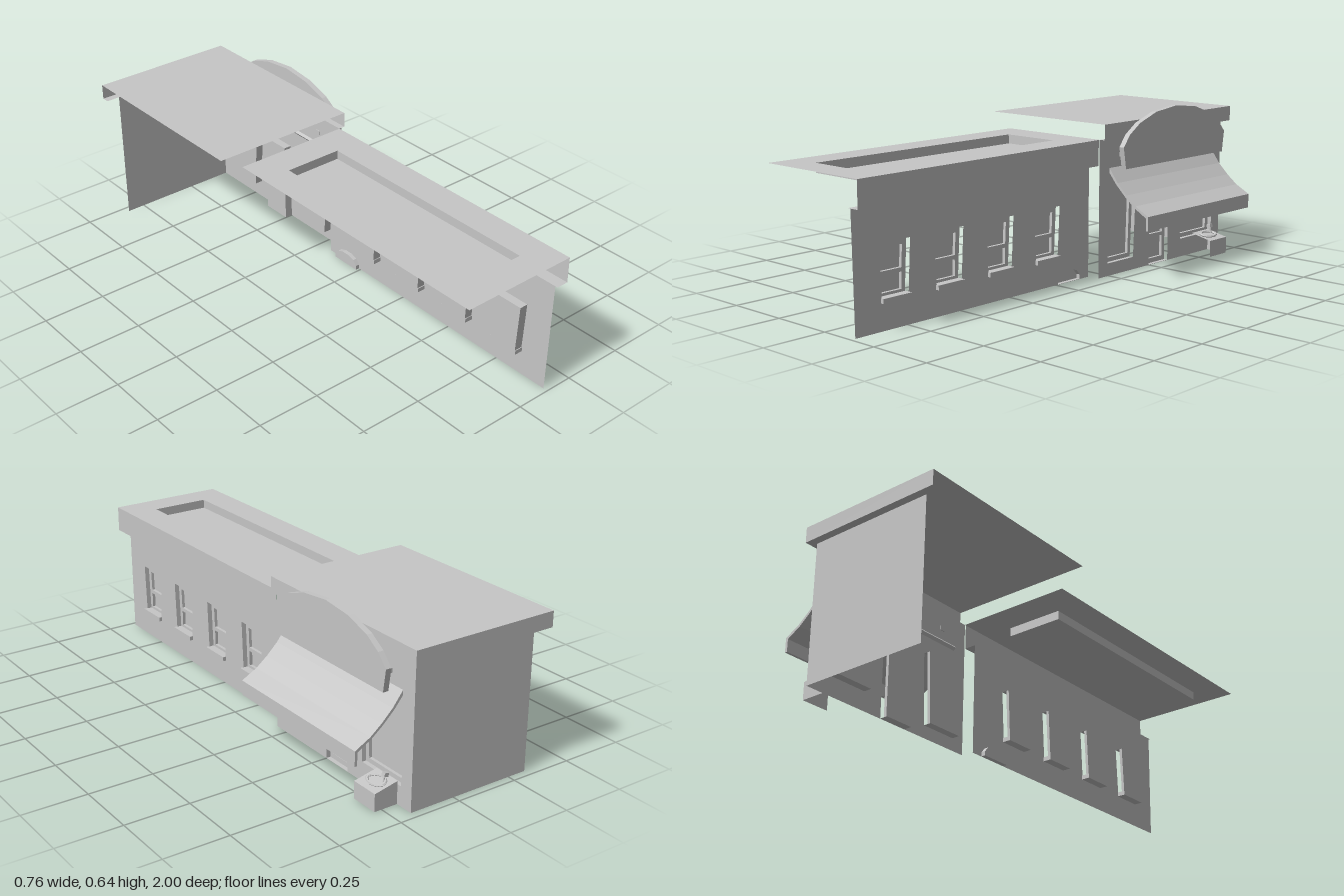
import * as THREE from 'three';

// Street-side plans are drawn in (s, y) with s = -z, then turned to face +x.
export function createModel() {
  const root = new THREE.Group();
  const grey = new THREE.MeshStandardMaterial({ color: 0xc6c6c6, side: THREE.DoubleSide, flatShading: true });
  grey.name = 'plain grey';

  const add = (name, geo, parent = root) => {
    const m = new THREE.Mesh(geo, grey);
    m.name = name;
    parent.add(m);
    return m;
  };
  const path = (pts, C = THREE.Shape) => new C(pts.map(p => new THREE.Vector2(p[0], p[1])));
  const rect = (s0, s1, y0, y1) => [[s0, y0], [s1, y0], [s1, y1], [s0, y1]];
  const withHoles = (outline, holes) => {
    const sh = path(outline);
    sh.holes = holes.map(h => path(h, THREE.Path));
    return sh;
  };
  // flat sheet facing +x
  const sheet = (outline, x, holes = []) =>
    new THREE.ShapeGeometry(withHoles(outline, holes)).rotateY(Math.PI / 2).translate(x, 0, 0);
  // slab facing +x, from x to x + depth
  const slab = (outline, x, depth, holes = []) =>
    new THREE.ExtrudeGeometry(withHoles(outline, holes), { depth, bevelEnabled: false })
      .rotateY(Math.PI / 2).translate(x, 0, 0);
  // loose four-cornered faces
  const quads = list => {
    const pos = [];
    for (const [a, b, c, d] of list) pos.push(...a, ...b, ...c, ...a, ...c, ...d);
    const g = new THREE.BufferGeometry();
    g.setAttribute('position', new THREE.Float32BufferAttribute(pos, 3));
    g.computeVertexNormals();
    return g;
  };
  const box = (x0, x1, y0, y1, z0, z1) =>
    new THREE.BoxGeometry(x1 - x0, y1 - y0, z1 - z0).translate((x0 + x1) / 2, (y0 + y1) / 2, (z0 + z1) / 2);
  // sides of an opening, from wall plane back to the recess
  const reveal = (pts, front, back, skip = -1) => {
    const faces = [];
    pts.forEach(([s, y], i) => {
      if (i === skip) return;
      const [t, v] = pts[(i + 1) % pts.length];
      faces.push([[front, y, -s], [front, v, -t], [back, v, -t], [back, y, -s]]);
    });
    return quads(faces);
  };
  // recessed opening with frame and glass; the far side stays open
  const opening = (name, pts, front, back, panes) => {
    const g = new THREE.Group();
    g.name = name;
    add('reveal', reveal(pts, front, back, 1), g);
    add('glass', sheet(pts, back), g);
    add('frame', slab(pts, back + 0.003, 0.012, panes), g);
    root.add(g);
  };

  // ---- Long low wing ----
  const lowX = 0.137;
  const windowCentres = [-0.805, -0.555, -0.302, -0.052];
  const lowOpenings = windowCentres.map(c =>
    [[c - 0.06, 0.113], [c + 0.06, 0.113], [c + 0.07, 0.303], [c - 0.07, 0.303]]);
  const arch = [[0.01, 0.001], [0.135, 0.001], [0.135, 0.018], [0.118, 0.038], [0.09, 0.047],
    [0.055, 0.047], [0.027, 0.038], [0.01, 0.018]];
  add('lowWall', sheet([[-0.982, 0], [0.185, 0], [0.185, 0.44], [-0.99, 0.44]], lowX, [...lowOpenings, arch]));
  lowOpenings.forEach((pts, i) => {
    const c = windowCentres[i];
    opening('lowWindow', pts, lowX, 0.103, [
      rect(c - 0.045, c + 0.045, 0.125, 0.185),
      [[c - 0.046, 0.2], [c + 0.046, 0.2], [c + 0.05, 0.28], [c - 0.05, 0.28]]]);
    add('windowSill', box(0.103, 0.15, 0.098, 0.115, -c - 0.063, -c + 0.063));
  });
  add('nicheSides', reveal(arch, lowX, 0.12));
  add('nicheBack', sheet(arch, 0.12));

  // parapet band and its underside
  add('lowParapet', quads([
    [[0.185, 0.44, 1], [0.185, 0.44, -0.185], [0.185, 0.54, -0.185], [0.185, 0.54, 1]],
    [[lowX, 0.44, 1], [lowX, 0.44, -0.185], [0.185, 0.44, -0.185], [0.185, 0.44, 1]],
  ]));
  // flat roof with a sunken well
  const well = rect(-0.168, 0.065, -0.885, 0.06);
  const roof = withHoles(rect(-0.285, 0.185, -1, 0.19), [well]);
  add('lowRoof', new THREE.ShapeGeometry(roof).rotateX(-Math.PI / 2).translate(0, 0.54, 0));
  add('roofWellFloor', new THREE.ShapeGeometry(path(well)).rotateX(-Math.PI / 2).translate(0, 0.505, 0));
  add('roofWellSides', quads(well.map(([x, s], i) => {
    const [u, t] = well[(i + 1) % 4];
    return [[x, 0.54, -s], [u, 0.54, -t], [u, 0.505, -t], [x, 0.505, -s]];
  })));

  // ---- Taller rear block ----
  const tallX = 0.185;
  const shopWindow = [[0.245, 0.05], [0.4, 0.05], [0.412, 0.333], [0.228, 0.333]];
  const door = rect(0.5, 0.622, 0.001, 0.333);
  const sideWindow = [[0.705, 0.075], [0.915, 0.075], [0.932, 0.31], [0.69, 0.31]];
  add('tallWall', sheet(rect(0.19, 0.97, 0, 0.54), tallX, [shopWindow, door, sideWindow]));
  opening('shopWindow', shopWindow, tallX, 0.153,
    [[[0.262, 0.067], [0.385, 0.067], [0.393, 0.315], [0.25, 0.315]]]);
  opening('door', door, tallX, 0.153,
    [rect(0.517, 0.605, 0.02, 0.105), rect(0.517, 0.605, 0.12, 0.31)]);
  opening('sideWindow', sideWindow, tallX, 0.153,
    [[[0.722, 0.092], [0.898, 0.092], [0.91, 0.292], [0.71, 0.292]]]);
  add('backWall', quads([[[tallX, 0, -0.97], [-0.325, 0, -0.97], [-0.325, 0.54, -0.97], [tallX, 0.54, -0.97]]]));
  add('tallRoof', quads([[[-0.38, 0.6, -0.19], [0.21, 0.6, -0.19], [0.21, 0.6, -1], [-0.38, 0.6, -1]]]));
  // cornice on the street side and back, with undersides
  add('cornice', quads([
    [[0.21, 0.54, -0.19], [0.21, 0.54, -1], [0.21, 0.6, -1], [0.21, 0.6, -0.19]],
    [[0.21, 0.54, -1], [-0.38, 0.54, -1], [-0.38, 0.6, -1], [0.21, 0.6, -1]],
    [[tallX, 0.54, -0.19], [tallX, 0.54, -0.97], [0.21, 0.54, -1], [0.21, 0.54, -0.19]],
    [[tallX, 0.54, -0.97], [-0.38, 0.54, -0.97], [-0.38, 0.54, -1], [0.21, 0.54, -1]],
  ]));

  // ---- Arched blank sign board on brackets ----
  add('signBoard', slab([[0.268, 0.425], [0.89, 0.425], [0.902, 0.51], [0.86, 0.556], [0.8, 0.595], [0.7, 0.629],
    [0.575, 0.643], [0.45, 0.629], [0.35, 0.595], [0.29, 0.556], [0.253, 0.51]], 0.23, 0.022));
  for (const z of [-0.32, -0.84]) add('signBracket', box(0.182, 0.23, 0.463, 0.48, z - 0.012, z + 0.012));

  // ---- Curved awning with a hanging edge ----
  const awning = [[0.176, 0.417], [0.22, 0.363], [0.265, 0.32], [0.31, 0.284], [0.366, 0.252], [0.366, 0.203],
    [0.376, 0.203], [0.376, 0.259], [0.315, 0.292], [0.27, 0.328], [0.226, 0.371], [0.184, 0.426]];
  add('awning', new THREE.ExtrudeGeometry(path(awning), { depth: 0.66, bevelEnabled: false }).translate(0, 0, -0.91));

  // ---- Drinking fountain: open-fronted casing, bowl and spout ----
  const [zf, zb] = [-0.785, -0.897];
  add('fountainCasing', quads([
    [[0.28, 0, zf], [0.28, 0, zb], [0.28, 0.067, zb], [0.28, 0.067, zf]],
    [[tallX, 0.087, zf], [0.28, 0.067, zf], [0.28, 0.067, zb], [tallX, 0.087, zb]],
    [[0.28, 0, zb], [tallX, 0, zb], [tallX, 0.087, zb], [0.28, 0.067, zb]],
  ]));
  const bowl = add('fountainBowl', new THREE.TorusGeometry(0.026, 0.005, 6, 14).rotateX(Math.PI / 2).scale(1, 1, 1.5));
  bowl.position.set(0.23, 0.081, -0.84);
  bowl.rotation.z = -0.21;
  const stem = add('spoutStem', new THREE.CylinderGeometry(0.003, 0.003, 0.026, 6));
  stem.position.set(0.22, 0.092, -0.868);
  stem.rotation.z = 0.2;
  const spout = add('spout', new THREE.BoxGeometry(0.018, 0.014, 0.016));
  spout.position.set(0.215, 0.109, -0.868);
  spout.rotation.z = 0.2;

  return root;
}
